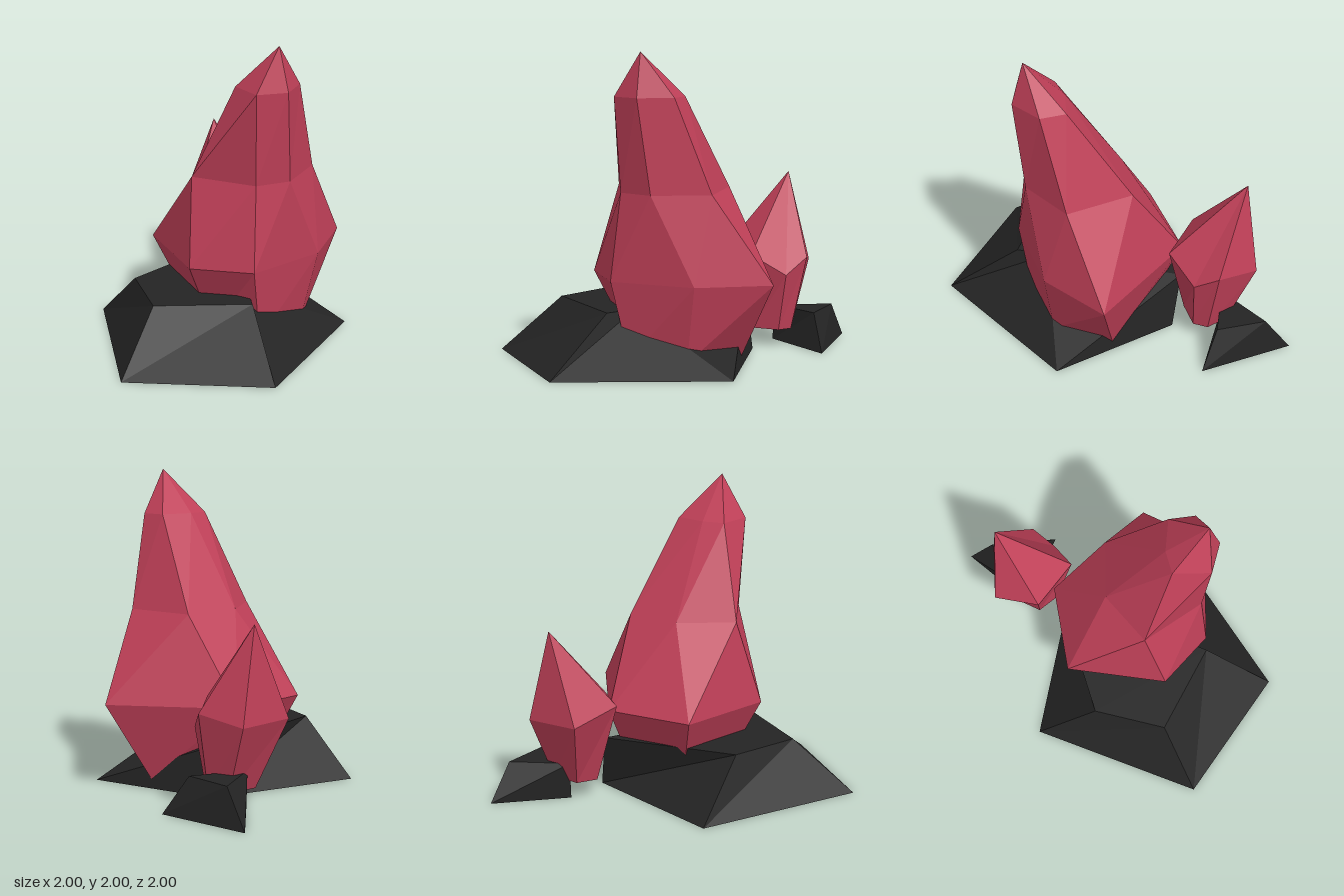
import * as THREE from 'three';

// Lofts a faceted solid through rings of [x, y, z] corners, listed bottom to top;
// a last ring of one corner makes a pointed tip.
function loft(rings) {
  const tris = [];
  const n = rings[0].length;
  for (let i = 1; i < n - 1; i++) tris.push(rings[0][0], rings[0][i + 1], rings[0][i]);
  for (let r = 0; r < rings.length - 1; r++) {
    const low = rings[r], high = rings[r + 1];
    for (let i = 0; i < n; i++) {
      const j = (i + 1) % n;
      if (high.length === 1) {
        tris.push(low[i], low[j], high[0]);
      } else {
        tris.push(low[i], low[j], high[j], low[i], high[j], high[i]);
      }
    }
  }
  const top = rings[rings.length - 1];
  for (let i = 1; i < top.length - 1; i++) tris.push(top[0], top[i], top[i + 1]);
  const geometry = new THREE.BufferGeometry();
  geometry.setAttribute('position', new THREE.Float32BufferAttribute(tris.flat(), 3));
  geometry.computeVertexNormals();
  return geometry;
}

// Horizontal ring from [x, z] corners
const level = (y, points) => points.map(([x, z]) => [x, y, z]);

export function createModel() {
  const group = new THREE.Group();
  const red = new THREE.MeshStandardMaterial({ color: 0xc04058 });
  red.name = 'crystal red';
  red.flatShading = true;
  const black = new THREE.MeshStandardMaterial({ color: 0x242424 });
  black.name = 'rock black';
  black.flatShading = true;

  const add = (name, material, rings) => {
    const mesh = new THREE.Mesh(loft(rings), material);
    mesh.name = name;
    group.add(mesh);
  };

  // Five-sided rock under the large crystal
  add('largeRock', black, [
    level(0, [[-0.66, 0.44], [0.35, 1], [1, 0.3], [0.53, -0.72], [-0.33, -0.53]]),
    level(0.36, [[-0.26, 0.45], [0.19, 0.63], [0.56, 0.12], [0.38, 0.01], [-0.41, -0.45]]),
  ]);

  // Three-sided rock behind the small crystal
  add('smallRock', black, [
    level(0, [[-1, -0.95], [-0.65, -0.56], [-0.37, -1]]),
    level(0.24, [[-0.83, -0.92], [-0.66, -0.56], [-0.5, -0.9]]),
  ]);

  // Leaning six-sided crystal
  add('largeCrystal', red, [
    level(0.06, [[0.15, 0.12], [0.49, 0], [0.45, -0.38], [0.12, -0.62], [-0.2, -0.35], [-0.2, 0.02]]),
    level(0.56, [[0.23, 0.37], [0.55, 0.1], [0.53, -0.46], [0.26, -0.88], [-0.43, -0.4], [-0.41, 0.19]]),
    level(1.12, [[0.1, 0.25], [0.5, 0.05], [0.56, -0.18], [0.39, -0.52], [-0.06, -0.46], [-0.11, -0.08]]),
    level(1.72, [[0.29, 0.05], [0.53, 0.08], [0.61, -0.11], [0.49, -0.31], [0.32, -0.31], [0.27, -0.1]]),
    [[0.53, 2, -0.1]],
  ]);

  // Short crystal with an uneven widest ring
  add('smallCrystal', red, [
    level(0.12, [[-0.67, -0.5], [-0.55, -0.42], [-0.42, -0.5], [-0.42, -0.68], [-0.5, -0.74], [-0.64, -0.7]]),
    [[-0.84, 0.56, -0.39], [-0.55, 0.65, -0.26], [-0.29, 0.64, -0.53],
      [-0.39, 0.5, -0.74], [-0.52, 0.61, -0.84], [-0.81, 0.55, -0.76]],
    [[-0.77, 1.15, -0.62]],
  ]);

  return group;
}
